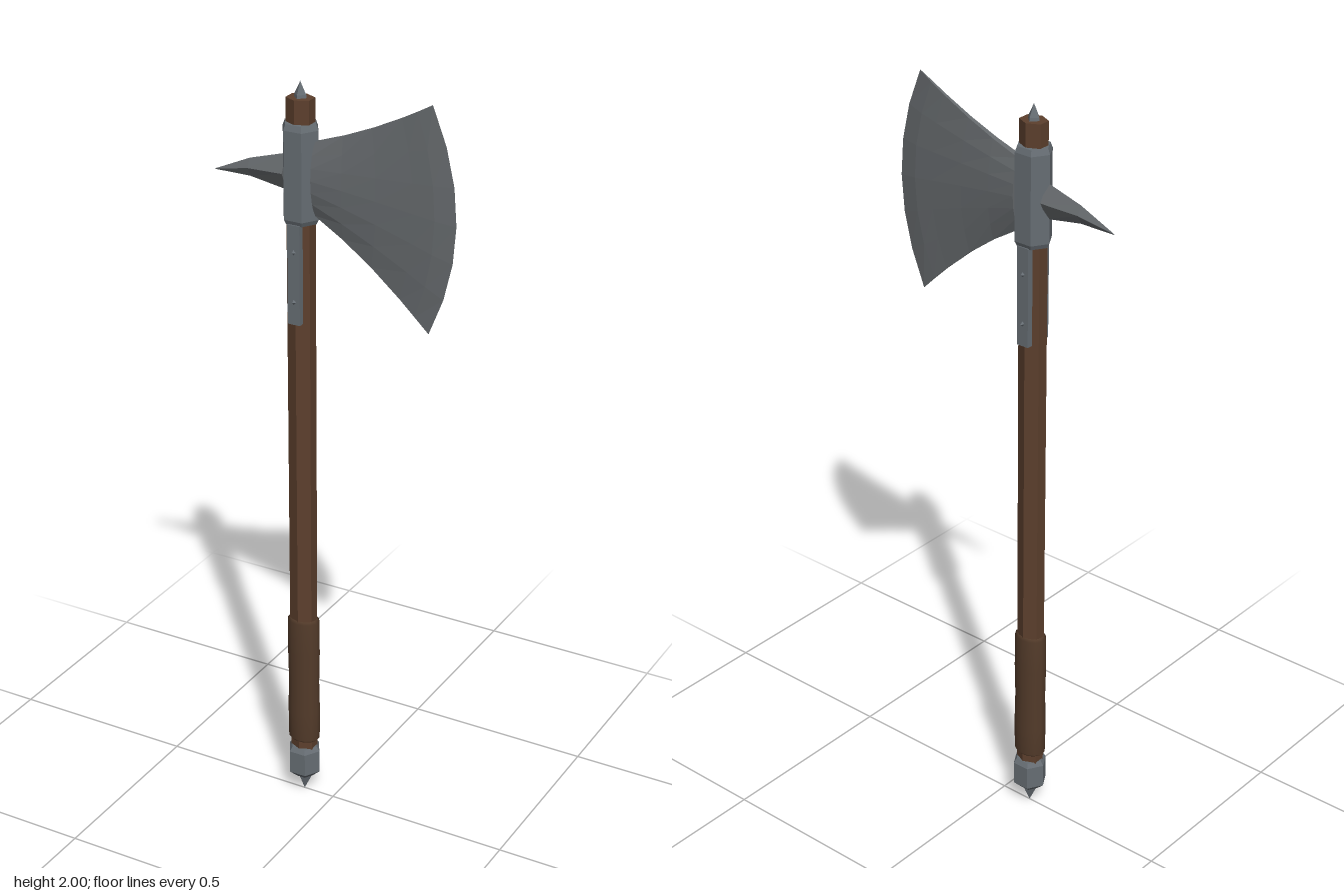
import * as THREE from 'three';

const mat = (name, color, flatShading = true) => {
  const m = new THREE.MeshStandardMaterial({ color, flatShading });
  m.name = name;
  return m;
};

const SHAFT_X = -0.088;

export function createModel() {
  const wood = mat('wood', 0x5d402d);
  const leather = mat('leather', 0x533b2a, false);
  const steel = mat('steel', 0x65696c);
  const iron = mat('iron', 0x666d73);
  const axe = new THREE.Group();
  axe.name = 'battleAxe';

  const add = (name, geometry, material, x = SHAFT_X, y = 0, z = 0) => {
    const mesh = new THREE.Mesh(geometry, material);
    mesh.name = name;
    mesh.position.set(x, y, z);
    axe.add(mesh);
    return mesh;
  };
  // faceted turned part from [radius, height] pairs, squashed in z
  const turned = (profile, sides, turn = 0, squash = 1) =>
    new THREE.LatheGeometry(profile.map(([r, y]) => new THREE.Vector2(r, y)), sides)
      .rotateY(turn).scale(1, 1, squash);

  // Shaft, grip and end fittings
  add('handle', turned([[0, 0.1], [0.037, 0.1], [0.037, 1.96], [0, 1.96]], 6, 0, 0.83), wood);
  add('topSpike', turned([[0.018, 1.955], [0.016, 1.968], [0, 2]], 4), iron);
  add('gripWrap', turned([[0.037, 0.168], [0.044, 0.175], [0.045, 0.26], [0.043, 0.35],
    [0.045, 0.44], [0.044, 0.535], [0.037, 0.542]], 14, 0, 0.78), leather);
  add('pommel', turned([[0, 0.05], [0.024, 0.05], [0.046, 0.07], [0.046, 0.135], [0.038, 0.147],
    [0, 0.147]], 6, Math.PI / 6, 0.98), iron);
  add('pommelSpike', turned([[0, 0.003], [0.02, 0.045], [0.024, 0.055]], 4), iron);

  // Head socket around the shaft
  add('socket', turned([[0, 1.648], [0.043, 1.648], [0.049, 1.66], [0.049, 1.885], [0.043, 1.9],
    [0, 1.9]], 6, Math.PI / 6, 0.94), iron);

  // Side straps with pointed rivets
  for (const s of [1, -1]) {
    add('strap', new THREE.BoxGeometry(0.034, 0.26, 0.018), iron, SHAFT_X, 1.52, s * 0.03);
    for (const y of [1.45, 1.58])
      add('rivet', new THREE.OctahedronGeometry(0.008), iron, SHAFT_X, y, s * 0.038);
  }

  add('blade', bladeGeometry(), steel, 0);
  add('backSpike', spikeGeometry(), steel, 0);
  return axe;
}

// Indexed geometry from closed rings of points, with both ends capped
function loft(rings) {
  const n = rings[0].length, index = [];
  for (let i = 0; i < rings.length - 1; i++)
    for (let j = 0; j < n; j++) {
      const a = i * n + j, b = i * n + (j + 1) % n;
      index.push(a, b, a + n, b, b + n, a + n);
    }
  const last = (rings.length - 1) * n;
  for (let j = 1; j < n - 1; j++) {
    index.push(0, j + 1, j);
    index.push(last, last + j, last + j + 1);
  }
  const g = new THREE.BufferGeometry();
  g.setAttribute('position', new THREE.Float32BufferAttribute(rings.flat(2), 3));
  g.setIndex(index);
  g.computeVertexNormals();
  return g;
}

// Flaring blade: lens-shaped sections widening from the root to a curved edge
function bladeGeometry() {
  const steps = 6;
  const rings = [0, 0.25, 0.5, 0.75, 0.88, 1].map((u) => {
    const flare = 0.7 * u + 0.3 * u * u;
    const top = 1.857 + 0.14 * flare, bottom = 1.673 - 0.248 * flare;
    const half = u === 1 ? 0.0008 : 0.027 - 0.019 * u;
    const side = (s) => Array.from({ length: steps + 1 }, (_, k) => {
      const v = -1 + (2 * k) / steps;
      const y = bottom + (top - bottom) * k / steps;
      const x = -0.047 + u * 0.309 + 0.067 * u * u * (1 - v * v);
      return [x, y, s * half * (1 - 0.7 * v * v)];
    });
    // front face upward, back face downward (seen from +x: counter-clockwise)
    return [...side(1).reverse(), ...side(-1)];
  });
  return loft(rings);
}

// Drooping four-sided spike behind the socket, swept from tip to root
function spikeGeometry() {
  const sections = [[-0.328, 1.741, 1.739, 0.0005], [-0.23, 1.785, 1.739, 0.012],
    [-0.128, 1.815, 1.722, 0.023]];
  return loft(sections.map(([x, top, bottom, z]) => {
    const mid = (top + bottom) / 2;
    return [[x, top, 0], [x, mid, -z], [x, bottom, 0], [x, mid, z]].reverse();
  }));
}
